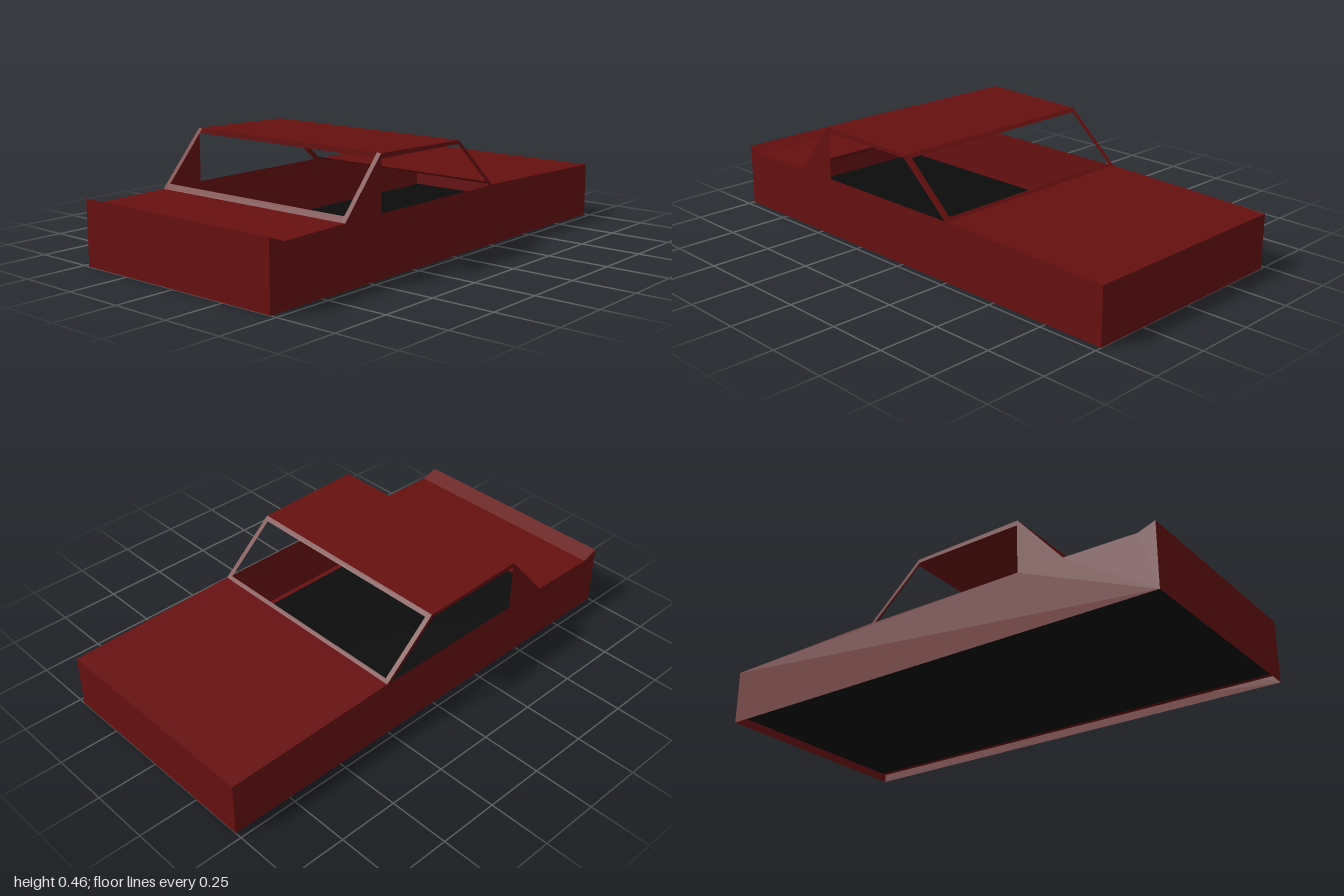
import * as THREE from 'three';

const HALF = 0.472, POST = 0.02; // half width, width of the window posts

export function createModel() {
  const car = new THREE.Group();
  car.name = 'carBody';
  const red = new THREE.MeshStandardMaterial({ color: 0x671010, side: THREE.DoubleSide });
  const black = new THREE.MeshStandardMaterial({ color: 0x0c0c0c, side: THREE.DoubleSide });
  const toPoints = (list) => list.map(([z, y]) => new THREE.Vector2(z, y));

  function add(name, geo, material) {
    const mesh = new THREE.Mesh(geo, material);
    mesh.name = name;
    car.add(mesh);
  }

  // Sheet metal following a [z, y] path, spanning x0 to x1
  function sheet(name, path, x0 = -HALF, x1 = HALF, material = red) {
    const plane = new THREE.PlaneGeometry(1, 1, 1, path.length - 1);
    const pos = plane.attributes.position;
    for (let i = 0; i < pos.count; i++) {
      const [z, y] = path[Math.floor(i / 2)];
      pos.setXYZ(i, i % 2 ? x1 : x0, y, z);
    }
    const geo = plane.toNonIndexed();
    geo.computeVertexNormals();
    add(name, geo, material);
  }

  // Side sheets with pillars and an open window
  const side = [[1, 0], [1, 0.26], [0.93, 0.235], [0.63, 0.24], [0.437, 0.46],
    [-0.03, 0.45], [-0.26, 0.245], [-1, 0.225], [-1, 0]];
  const sideWindow = [[0.435, 0.243], [0.435, 0.44], [-0.023, 0.436], [-0.243, 0.243]];
  for (const s of [-1, 1]) {
    const shape = new THREE.Shape(toPoints(side));
    shape.holes.push(new THREE.Path(toPoints(sideWindow)));
    const geo = new THREE.ShapeGeometry(shape);
    geo.rotateY(-Math.PI / 2).translate(s * HALF, 0, 0);
    add(s > 0 ? 'leftSide' : 'rightSide', geo, red);

    // Sloped posts beside the front and rear window openings
    const [a, b] = s > 0 ? [HALF - POST, HALF] : [-HALF, POST - HALF];
    sheet('frontPost', [[0.437, 0.46], [0.63, 0.24]], a, b);
    sheet('rearPost', [[-0.26, 0.245], [-0.03, 0.45]], a, b);
  }

  // Skin across the car, broken by the two window openings
  sheet('frontDeckAndWall', [[0.612, 0.26], [0.63, 0.24], [0.93, 0.235], [1, 0.26], [1, 0]]);
  sheet('roof', [[-0.045, 0.437], [-0.03, 0.45], [0.437, 0.46], [0.437, 0.44]]);
  sheet('rearDeckAndWall', [[-1, 0], [-1, 0.225], [-0.26, 0.245], [-0.248, 0.256]]);

  // Floor set slightly above the lower edge, with a trim strip along one side
  sheet('floor', [[-0.98, 0.025], [0.98, 0.025]], -0.452, 0.43, black);
  sheet('floorTrim', [[-0.98, 0.025], [0.98, 0.025]], 0.43, 0.452);

  return car;
}
